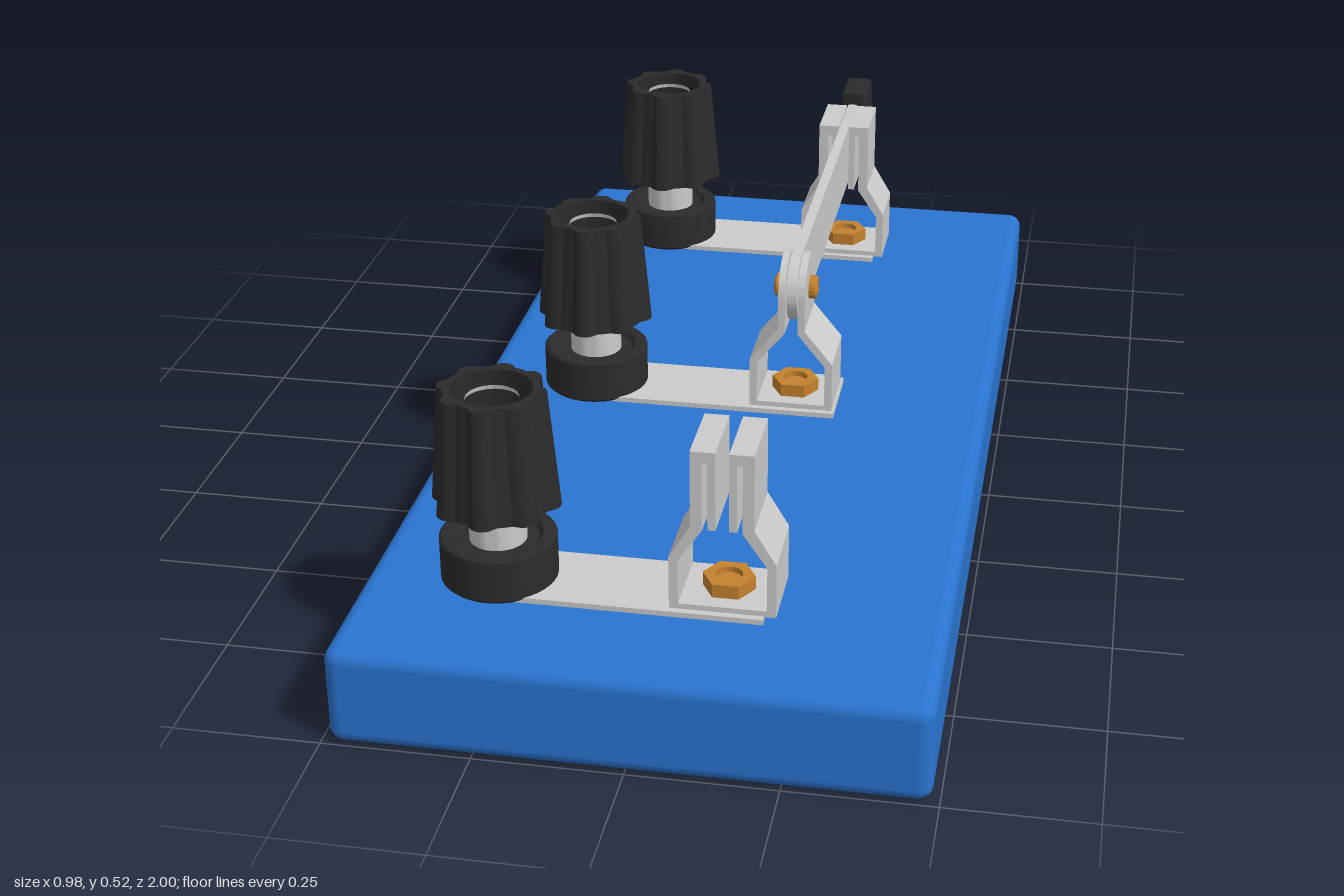
import * as THREE from 'three';
import { toCreasedNormals } from 'three/addons/utils/BufferGeometryUtils.js';
import { RoundedBoxGeometry } from 'three/addons/geometries/RoundedBoxGeometry.js';

const mat = (color) => new THREE.MeshStandardMaterial({ color });
const grey = mat(0xcccccc), blue = mat(0x2a74d0), black = mat(0x2b2b2b), brass = mat(0xc4812f);
const V = (x, y) => new THREE.Vector2(x, y);

const CLIP_X = 0.122;   // centre line of blade and clips
const POST_X = -0.265;  // centre line of binding posts
const STATIONS = [0.725, -0.008, -0.745];
const PIVOT_Y = 0.408;

function add(parent, name, geometry, material, x = 0, y = 0, z = 0) {
  const mesh = new THREE.Mesh(geometry, material);
  mesh.name = name;
  mesh.position.set(x, y, z);
  parent.add(mesh);
  return mesh;
}

const lathe = (pts, seg = 40) =>
  toCreasedNormals(new THREE.LatheGeometry(pts.map(([r, y]) => V(r, y)), seg), 0.5);

// Mirrors half an outline in x and extrudes it along z, centred
function bentStrip(half, width) {
  const pts = half.map(([x, y]) => V(x, y));
  const mirrored = half.map(([x, y]) => V(-x, y)).reverse();
  const geo = new THREE.ExtrudeGeometry(new THREE.Shape([...pts, ...mirrored]), { depth: width, bevelEnabled: false });
  return geo.translate(0, 0, -width / 2);
}

// Extrudes a side profile (u towards the back, y up) across x, centred
function sidePlate(shape, thickness, bevel = 0) {
  const geo = new THREE.ExtrudeGeometry(shape, {
    depth: thickness - 2 * bevel, curveSegments: 16, bevelEnabled: bevel > 0,
    bevelSize: bevel, bevelThickness: bevel, bevelOffset: -bevel, bevelSegments: 3,
  });
  geo.translate(0, 0, -thickness / 2 + bevel).rotateY(Math.PI / 2);
  return toCreasedNormals(geo, 0.5);
}

// Tapered knob with eight ridges and an open bore
function knobGeometry() {
  const ridges = 8, steps = 12, pts = [];
  for (let i = 0; i < ridges * steps; i++) {
    const a = (i / (ridges * steps)) * Math.PI * 2;
    const bump = Math.max(0, Math.cos(a * ridges) + 0.15) / 1.15;
    const r = 0.095 + 0.014 * Math.sqrt(bump);
    pts.push(V(r * Math.cos(a), r * Math.sin(a)));
  }
  const shape = new THREE.Shape(pts);
  shape.holes.push(new THREE.Path().absarc(0, 0, 0.08, 0, Math.PI * 2, true));
  const h = 0.205;
  const geo = new THREE.ExtrudeGeometry(shape, { depth: h, bevelEnabled: false, curveSegments: 20 });
  geo.rotateX(-Math.PI / 2);
  const p = geo.attributes.position;
  for (let i = 0; i < p.count; i++) {
    const s = 1 - 0.165 * (p.getY(i) / h);
    p.setX(i, p.getX(i) * s);
    p.setZ(i, p.getZ(i) * s);
  }
  return toCreasedNormals(geo, 0.5);
}

function bindingPost() {
  const g = new THREE.Group();
  g.name = 'bindingPost';
  add(g, 'collar', lathe([[0, 0.177], [0.092, 0.177], [0.098, 0.183], [0.098, 0.256],
    [0.094, 0.26], [0.075, 0.26], [0.068, 0.25], [0, 0.25]]), black);
  add(g, 'stud', lathe([[0.048, 0.245], [0.048, 0.33]]), grey);
  add(g, 'knob', knobGeometry(), black, 0, 0.32, 0);
  add(g, 'knobUnderside', lathe([[0.048, 0.321], [0.082, 0.321]].reverse()), black).material = knobCap;
  // Sloped metal seat with a dimpled stud end
  add(g, 'knobInsert', lathe([[0.068, 0.522], [0.046, 0.5], [0.044, 0.508], [0.04, 0.508],
    [0.016, 0.495], [0, 0.495]].reverse()), grey);
  return g;
}
const knobCap = mat(0x2b2b2b);
knobCap.side = THREE.DoubleSide;

// Hex nut with the end of its screw
function screwNut() {
  const g = new THREE.Group();
  g.name = 'screwNut';
  const hex = new THREE.Shape();
  for (let i = 0; i < 6; i++) {
    const a = (i * Math.PI) / 3;
    hex[i ? 'lineTo' : 'moveTo'](0.044 * Math.cos(a), 0.044 * Math.sin(a));
  }
  hex.holes.push(new THREE.Path().absarc(0, 0, 0.023, 0, Math.PI * 2, true));
  const geo = new THREE.ExtrudeGeometry(hex, { depth: 0.025, bevelEnabled: false });
  add(g, 'nut', geo.rotateX(-Math.PI / 2), brass);
  add(g, 'screwEnd', new THREE.CylinderGeometry(0.021, 0.021, 0.016, 20), brass, 0, 0.008, 0);
  return g;
}

export function createModel() {
  const model = new THREE.Group();
  model.name = 'knifeSwitch';

  add(model, 'base', new RoundedBoxGeometry(0.976, 0.175, 2, 4, 0.025), blue, 0, 0.0875, 0);

  // Spring clip: each jaw folds over at the top and hangs back down inside
  const jaw = [[0.088, 0.183], [0.088, 0.28], [0.052, 0.34], [0.052, 0.475], [0.011, 0.475],
    [0.011, 0.335], [0.024, 0.335], [0.024, 0.455], [0.033, 0.455], [0.033, 0.333],
    [0.073, 0.274], [0.073, 0.194]];
  // Pivot bracket: straight ears
  const ear = [[0.078, 0.183], [0.078, 0.28], [0.025, 0.345], [0.025, PIVOT_Y], [0.012, PIVOT_Y],
    [0.012, 0.338], [0.064, 0.274], [0.064, 0.194]];

  STATIONS.forEach((z, i) => {
    const isPivot = i === 1;
    const station = new THREE.Group();
    station.name = isPivot ? 'pivotStation' : i === 0 ? 'frontStation' : 'backStation';
    station.position.z = z;
    model.add(station);

    const post = bindingPost();
    post.position.x = POST_X;
    station.add(post);

    const end = isPivot ? 0.205 : 0.19;
    add(station, 'contactStrip', new THREE.BoxGeometry(end - POST_X, 0.011, 0.156), grey,
      (end + POST_X) / 2, 0.179, 0);
    add(station, isPivot ? 'pivotBracket' : 'springClip', bentStrip(isPivot ? ear : jaw, 0.132), grey, CLIP_X);

    const nut = screwNut();
    nut.position.set(CLIP_X, 0.193, 0);
    station.add(nut);

    if (!isPivot) return;
    // Rounded ear tops and the pivot screw heads
    const half = new THREE.Shape().absarc(0, 0, 0.066, 0, Math.PI, false);
    for (const s of [-1, 1]) {
      add(station, 'earTop', sidePlate(half, 0.013), grey, CLIP_X + s * 0.0185, PIVOT_Y, 0);
      const head = lathe([[0, -0.008], [0.022, -0.008], [0.022, 0.004], [0.018, 0.008],
        [0.01, 0.008], [0.008, 0.004], [0, 0.004]], 20);
      add(station, 'pivotScrew', head, brass, CLIP_X + s * 0.032, PIVOT_Y, 0).rotation.z = -s * Math.PI / 2;
    }
  });

  // Blade, rounded at the pivot end
  const blade = new THREE.Shape();
  blade.moveTo(0.86, 0.345);
  blade.lineTo(0.86, 0.471);
  blade.lineTo(0.008, 0.471);
  blade.absarc(0.008, PIVOT_Y, 0.063, Math.PI / 2, Math.PI * 1.5, false);
  add(model, 'blade', sidePlate(blade, 0.019), grey, CLIP_X);

  // Handle grip, rounded at the back
  const grip = new THREE.Shape();
  grip.moveTo(0.828, 0.335);
  grip.lineTo(0.845, 0.321);
  grip.lineTo(0.91, 0.321);
  grip.quadraticCurveTo(0.976, 0.325, 0.976, 0.38);
  grip.lineTo(0.976, 0.435);
  grip.quadraticCurveTo(0.976, 0.494, 0.92, 0.494);
  grip.lineTo(0.828, 0.494);
  grip.closePath();
  add(model, 'handle', sidePlate(grip, 0.05, 0.006), black, CLIP_X);

  return model;
}
